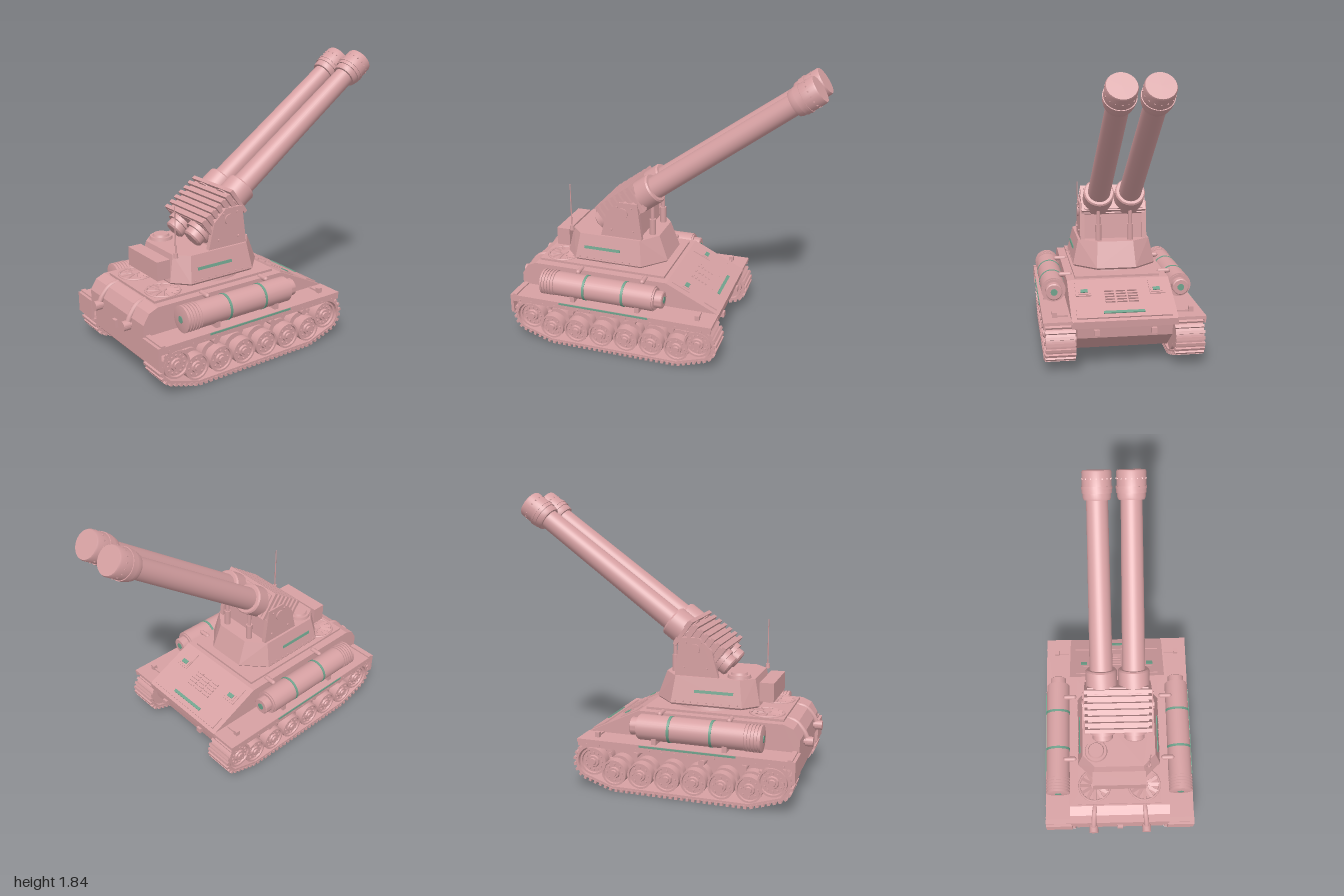
import * as THREE from 'three';
import { toCreasedNormals } from 'three/addons/utils/BufferGeometryUtils.js';
import { ConvexGeometry } from 'three/addons/geometries/ConvexGeometry.js';

export function createModel() {
  const root = new THREE.Group();
  root.name = 'twinGunTank';
  const pink = new THREE.MeshStandardMaterial({ color: 0xd6a0a2 });
  pink.name = 'dusty pink';
  const green = new THREE.MeshStandardMaterial({ color: 0x6fa28c });
  green.name = 'muted green';

  // helpers
  const add = (name, geo, x = 0, y = 0, z = 0, parent = root, mat = pink) => {
    const m = new THREE.Mesh(geo, mat);
    m.name = name;
    m.position.set(x, y, z);
    parent.add(m);
    return m;
  };
  const box = (name, w, h, d, x, y, z, parent, mat) => add(name, new THREE.BoxGeometry(w, h, d), x, y, z, parent, mat);
  const cylY = (name, r1, r0, h, x, y, z, parent, mat, n = 20) => add(name, new THREE.CylinderGeometry(r1, r0, h, n), x, y, z, parent, mat);
  const cylZ = (name, r, d, x, y, z, parent, n = 20) => add(name, new THREE.CylinderGeometry(r, r, d, n).rotateX(Math.PI / 2), x, y, z, parent);
  // solid of revolution along x; profile points are [x, radius]
  const latheX = (name, pts, x, y, z, parent, mat, n = 36) => add(name, toCreasedNormals(
    new THREE.LatheGeometry(pts.map(([a, r]) => new THREE.Vector2(r, a)), n).rotateZ(-Math.PI / 2), 0.6), x, y, z, parent, mat);
  const poly = pts => new THREE.Shape(pts.map(p => new THREE.Vector2(...p)));
  const slab = (name, shape, depth, z, parent) =>
    add(name, new THREE.ExtrudeGeometry(shape, { depth, bevelEnabled: false, curveSegments: 12 }), 0, 0, z - depth / 2, parent);
  const group = (name, parent = root) => {
    const g = new THREE.Group();
    g.name = name;
    parent.add(g);
    return g;
  };

  // hull
  slab('upperHull', poly([[-0.94, 0.28], [0.425, 0.28], [0.43, 0.325], [0.08, 0.495], [-0.84, 0.495], [-0.9, 0.47], [-0.94, 0.405]]), 0.67, 0);
  slab('lowerHull', poly([[-0.93, 0.3], [-0.93, 0.17], [-0.86, 0.09], [0.24, 0.09], [0.4, 0.21], [0.415, 0.3]]), 0.6, 0);
  box('deckPlate', 0.88, 0.016, 0.56, -0.39, 0.502, 0);
  box('rearHook', 0.03, 0.05, 0.04, -0.945, 0.3, 0);
  for (const s of [-1, 1]) box('towHook', 0.03, 0.035, 0.035, 0.418, 0.25, s * 0.18);

  // sloped front plate fittings
  const glacis = group('frontPlate');
  glacis.position.set(0.255, 0.41, 0);
  glacis.rotation.z = -Math.atan2(0.17, 0.35);
  for (const z of [-0.075, 0, 0.075]) for (let i = 0; i < 5; i++)
    box('ventSlat', 0.012, 0.014, 0.062, -0.075 + i * 0.025, 0.004, z, glacis);
  box('lowerPanel', 0.09, 0.01, 0.6, 0.125, 0.004, 0, glacis);
  box('frontStrip', 0.02, 0.008, 0.26, 0.128, 0.011, 0, glacis, green);
  for (const s of [-1, 1]) {
    box('lampFrame', 0.05, 0.012, 0.075, -0.073, 0.004, s * 0.235, glacis);
    box('lamp', 0.028, 0.006, 0.045, -0.073, 0.012, s * 0.235, glacis, green);
    box('sidePanel', 0.13, 0.006, 0.1, -0.1, 0.003, s * 0.24, glacis);
  }

  // track outline, inset by o
  const trackPath = (o, P = THREE.Shape) => {
    const p = new P();
    p.moveTo(-0.67, 0.018 + o);
    p.lineTo(0.2, 0.018 + o);
    p.absarc(0.335, 0.18, 0.115 - o, -1.0, Math.PI / 2, false);
    p.absarc(-0.81, 0.18, 0.115 - o, Math.PI / 2, Math.PI + 1.0, false);
    p.closePath();
    return p;
  };
  const wheelProfile = r => [[-0.08, 0], [-0.08, r], [-0.02, r], [-0.02, r * 0.6], [0.02, r * 0.6], [0.02, r], [0.08, r],
    [0.08, r * 0.86], [0.068, r * 0.82], [0.068, r * 0.45], [0.08, r * 0.4], [0.08, r * 0.26], [0.09, r * 0.22], [0.09, 0]];
  const wheel = (name, r, x, y, side, holes) => {
    const w = group(name, side);
    w.position.set(x, y, 0.405);
    latheX('disc', wheelProfile(r), 0, 0, 0, w, pink, 28).rotation.y = -Math.PI / 2;
    for (let i = 0; i < holes; i++) {
      const a = i * 2 * Math.PI / holes;
      cylZ('bolt', r * 0.09, 0.012, Math.cos(a) * r * 0.64, Math.sin(a) * r * 0.64, 0.071, w, 8);
    }
    return w;
  };

  // one running gear, fender and side tank per side
  for (const s of [-1, 1]) {
    const side = group(s > 0 ? 'rightSide' : 'leftSide');
    if (s < 0) side.rotation.y = 0;
    const belt = trackPath(0);
    belt.holes.push(trackPath(0.018, THREE.Path));
    slab('trackBelt', belt, 0.18, s * 0.405, side);
    const n = 84, outline = trackPath(0).getSpacedPoints(n);
    for (let i = 0; i < n; i++) {
      const a = outline[i], b = outline[(i + 1) % n];
      const ang = Math.atan2(b.y - a.y, b.x - a.x);
      const c = box('trackCleat', 0.018, 0.02, 0.188, (a.x + b.x) / 2 + Math.sin(ang) * 0.005,
        (a.y + b.y) / 2 - Math.cos(ang) * 0.005, s * 0.405, side);
      c.rotation.z = ang;
    }
    const wheels = group('wheels', side);
    for (let i = 0; i < 6; i++) wheel('roadWheel', 0.082, -0.67 + i * 0.173, 0.12, wheels, 8);
    for (const [x, name] of [[-0.81, 'driveWheel'], [0.335, 'idlerWheel']]) {
      const w = wheel(name, 0.088, x, 0.18, wheels, 12);
      for (let i = 0; i < 16; i++) {
        const t = box('tooth', 0.02, 0.014, 0.03, 0, 0, 0, w);
        t.rotation.z = i * Math.PI / 8;
        t.position.set(Math.cos(t.rotation.z) * 0.092, Math.sin(t.rotation.z) * 0.092, 0);
      }
    }
    for (const x of [-0.53, -0.1, 0.16]) cylZ('returnRoller', 0.02, 0.15, x, 0.248, 0.405, wheels, 14);
    if (s < 0) wheels.rotation.y = Math.PI, wheels.position.x = -0.475;

    // fender
    box('fender', 1.37, 0.02, 0.18, -0.255, 0.32, s * 0.42, side);
    box('fenderSkirt', 1.36, 0.04, 0.012, -0.255, 0.305, s * 0.504, side);
    box('fenderStrip', 0.61, 0.012, 0.006, -0.29, 0.322, s * 0.512, side, green);
    box('rearMudFlap', 0.02, 0.13, 0.18, -0.938, 0.265, s * 0.42, side);
    box('fenderLip', 0.03, 0.012, 0.18, -0.915, 0.334, s * 0.42, side);
    box('fenderBracket', 0.03, 0.035, 0.03, 0.32, 0.345, s * 0.435, side);
    box('fenderBracketArm', 0.012, 0.012, 0.1, 0.32, 0.335, s * 0.4, side);
    for (let i = 0; i < 16; i++) box('rivet', 0.008, 0.008, 0.006, -0.88 + i * 0.083, 0.298, s * 0.511, side);

    // side tank with ribbed end, bands and cap
    const tank = [[-0.74, 0], [-0.74, 0.06]];
    for (let i = 0; i < 5; i++) tank.push([-0.735 + i * 0.02, 0.083], [-0.723 + i * 0.02, 0.083], [-0.723 + i * 0.02, 0.076], [-0.716 + i * 0.02, 0.076]);
    tank.push([-0.635, 0.08], [0.035, 0.08], [0.035, 0.072], [0.045, 0.072], [0.045, 0.055], [0.09, 0.055], [0.095, 0.048], [0.095, 0]);
    latheX('sideTank', tank, 0, 0.422, s * 0.42, side);
    for (const x of [-0.43, -0.165]) latheX('tankBand', [[-0.008, 0.079], [-0.008, 0.083], [0.008, 0.083], [0.008, 0.079]], x, 0.422, s * 0.42, side, green);
    latheX('tankPort', [[0, 0], [0, 0.022], [0.004, 0.022], [0.004, 0]], 0.094, 0.422, s * 0.42, side, green);
    latheX('rearTankPort', [[0, 0], [0, 0.022], [0.004, 0.022], [0.004, 0]], -0.743, 0.422, s * 0.42, side, green);
    for (const x of [-0.515, -0.07]) {
      add('tankClamp', new THREE.CapsuleGeometry(0.016, 0.06, 4, 10).rotateX(Math.PI / 2), x, 0.495, s * 0.335, side);
      box('tankCradle', 0.03, 0.05, 0.12, x, 0.345, s * 0.42, side);
    }

    // rear fan and exhaust
    const fan = group('coolingFan', side);
    fan.position.set(-0.705, 0.51, s * 0.167);
    add('fanRing', new THREE.TorusGeometry(0.104, 0.008, 8, 32).rotateX(Math.PI / 2), 0, 0, 0, fan);
    cylY('fanHub', 0.025, 0.03, 0.02, 0, 0.004, 0, fan);
    for (let i = 0; i < 12; i++) {
      const blade = box('fanBlade', 0.085, 0.005, 0.022, 0, 0.003, 0, fan);
      const a = i * Math.PI / 6;
      blade.position.set(Math.cos(a) * 0.06, 0.003, -Math.sin(a) * 0.06);
      blade.rotation.set(0.35, a, 0, 'YXZ');
    }
    const pipe = new THREE.CatmullRomCurve3([[-0.81, 0.485, 0.165], [-0.88, 0.475, 0.172], [-0.935, 0.42, 0.178], [-0.96, 0.37, 0.18]]
      .map(p => new THREE.Vector3(p[0], p[1], p[2] * s)));
    add('exhaustPipe', new THREE.TubeGeometry(pipe, 12, 0.017, 10), 0, 0, 0, side);
    latheX('exhaustMuffler', [[-0.997, 0], [-0.997, 0.03], [-0.95, 0.03], [-0.95, 0.02], [-0.93, 0.02]], 0, 0.358, s * 0.18, side, pink, 20);
  }

  // turret
  const turret = group('turret');
  const ring = (y, k, pts) => pts.flatMap(([x, z]) => [1, -1].map(s => new THREE.Vector3(-0.32 + (x + 0.32) * k, y, s * z * k)));
  const low = [[-0.66, 0.18], [-0.57, 0.277], [-0.11, 0.277], [0.025, 0.13]];
  const high = [[-0.625, 0.16], [-0.545, 0.24], [-0.13, 0.24], [-0.035, 0.12]];
  add('turretBody', new ConvexGeometry([...ring(0.54, 0.97, low), ...ring(0.552, 1, low), ...ring(0.718, 1, high)]), 0, 0, 0, turret);
  cylY('turretRing', 0.235, 0.25, 0.05, -0.31, 0.522, 0, turret, pink, 40);
  box('rearStowageBox', 0.09, 0.12, 0.35, -0.7, 0.64, 0, turret);
  for (const s of [-1, 1]) {
    const strip = box('turretStrip', 0.25, 0.018, 0.008, -0.385, 0.632, s * 0.261, turret, green);
    strip.rotation.x = -s * 0.22;
    for (let i = 0; i < 9; i++) box('turretRivet', 0.008, 0.008, 0.008, -0.54 + i * 0.05, 0.565, s * 0.275, turret);
  }
  cylY('hatchBase', 0.07, 0.075, 0.02, -0.52, 0.727, -0.15, turret, pink, 28);
  cylY('hatchLid', 0.048, 0.055, 0.016, -0.52, 0.743, -0.15, turret, pink, 28);
  cylY('antennaBase', 0.012, 0.015, 0.03, -0.625, 0.725, 0.195, turret);
  cylY('antenna', 0.003, 0.005, 0.3, -0.625, 0.885, 0.195, turret, pink, 8);

  // gun cradle
  const cheek = [[-0.405, 0.715], [-0.12, 0.715], [-0.15, 0.962], [-0.275, 0.962], [-0.36, 0.885]];
  for (const s of [-1, 1]) {
    slab('cradleCheek', poly(cheek), 0.03, s * 0.21, turret);
    cylZ('trunnion', 0.035, 0.02, -0.25, 0.89, s * 0.224, turret);
    for (const [x, y] of [[-0.33, 0.77], [-0.18, 0.77], [-0.19, 0.93], [-0.29, 0.93]]) cylZ('cheekBolt', 0.008, 0.012, x, y, s * 0.227, turret, 8);
    cylY('strutBody', 0.021, 0.021, 0.12, -0.086, 0.765, s * 0.107, turret);
    cylY('strutRod', 0.013, 0.013, 0.15, -0.086, 0.88, s * 0.107, turret);
  }
  slab('cradleBlock', poly([[-0.36, 0.715], [-0.14, 0.715], [-0.155, 0.9], [-0.33, 0.85]]), 0.4, 0, turret);
  box('cradleCrossbar', 0.04, 0.06, 0.4, -0.17, 0.91, 0, turret);

  // elevated twin guns, local x runs along the barrels
  const guns = group('gunAssembly', turret);
  guns.position.set(-0.064, 1.048, 0);
  guns.rotation.z = Math.PI / 5;
  box('ribbedHousing', 0.3, 0.16, 0.39, -0.25, 0.005, 0, guns);
  for (let i = 0; i < 7; i++) box('housingRib', 0.024, 0.19, 0.43, -0.385 + i * 0.044, 0.012, 0, guns);
  const barrel = [[-0.48, 0], [-0.48, 0.055], [-0.47, 0.066], [-0.43, 0.066], [-0.43, 0.085], [-0.14, 0.085], [-0.14, 0.1], [-0.01, 0.1], [0, 0.092],
    [0, 0.074], [1.06, 0.066], [1.06, 0.08], [1.075, 0.086], [1.1, 0.086], [1.1, 0.092], [1.125, 0.092], [1.125, 0.095], [1.14, 0.095], [1.14, 0.09], [1.225, 0.09], [1.235, 0.085], [1.235, 0]];
  for (const s of [-1, 1]) {
    latheX('gunBarrel', barrel, 0, 0, s * 0.104, guns);
    for (let i = 0; i < 16; i++) {
      const a = i * Math.PI / 8;
      box('muzzleRivet', 0.008, 0.008, 0.008, 1.185, Math.cos(a) * 0.089, s * 0.104 + Math.sin(a) * 0.089, guns);
    }
  }
  return root;
}
